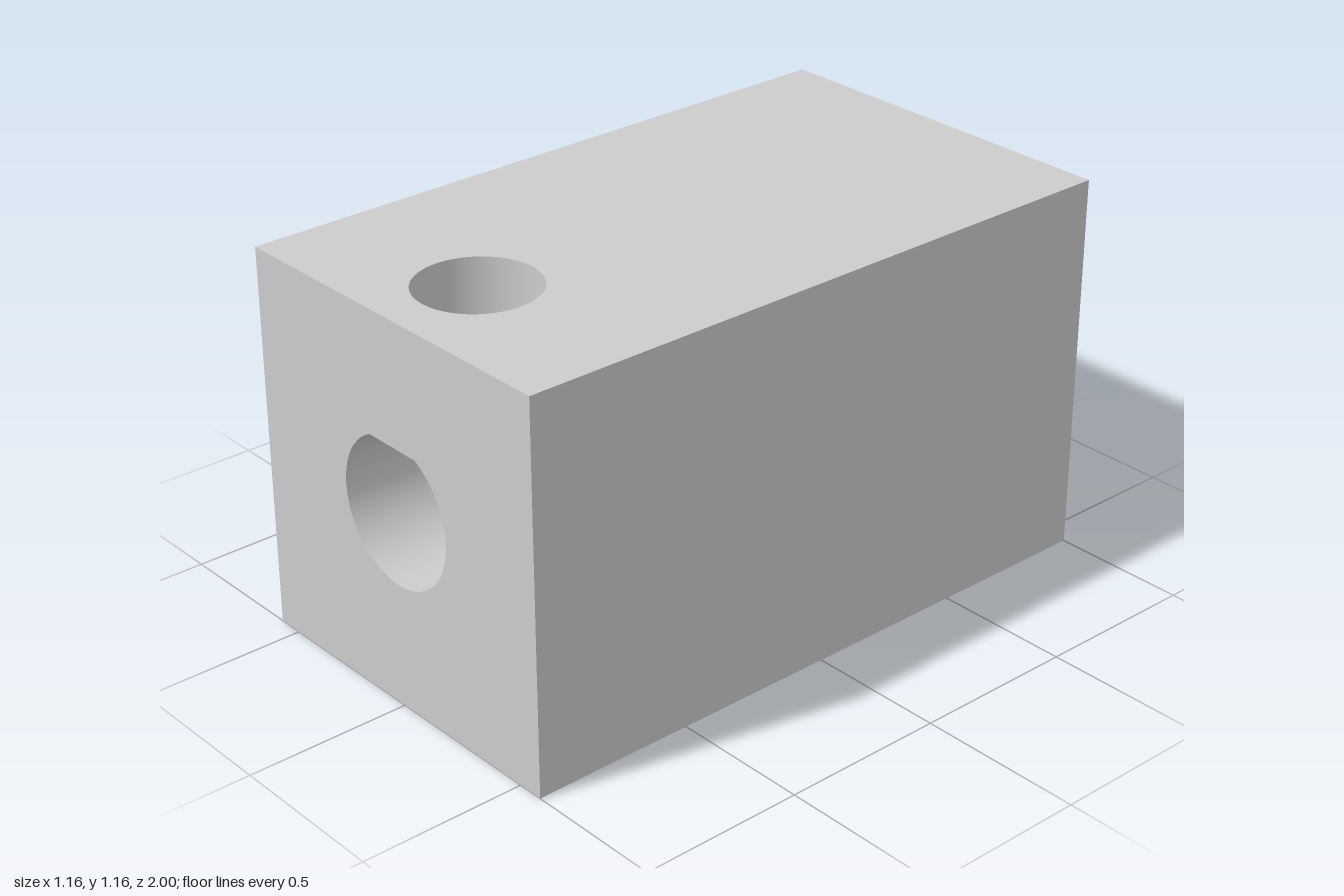
import * as THREE from 'three';
import { toCreasedNormals } from 'three/addons/utils/BufferGeometryUtils.js';

const S = 1.16, H = S / 2, L = 2;                  // block section and length
const BORE_Y = 0.595, BORE_R = 0.218, FLAT_Y = 0.79; // lengthwise bore with flat roof
const HOLE_Z = 0.705, HOLE_R = 0.177;              // vertical hole opening into the bore

const material = new THREE.MeshStandardMaterial({ color: 0xcccccc });

// Strip of quads between two matching rows of points
function ruled(a, b) {
  const index = [];
  for (let i = 0; i < a.length - 1; i++) {
    const j = i + a.length;
    index.push(i, i + 1, j + 1, i, j + 1, j);
  }
  const geometry = new THREE.BufferGeometry().setFromPoints([...a, ...b]);
  geometry.setIndex(index);
  return toCreasedNormals(geometry, 0.3);
}

// Rectangle centred on the origin, with an optional opening
function plate(w, h, opening) {
  const shape = new THREE.Shape([[-1, -1], [1, -1], [1, 1], [-1, 1]]
    .map(([x, y]) => new THREE.Vector2(x * w / 2, y * h / 2)));
  if (opening) shape.holes.push(new THREE.Path(opening));
  return new THREE.ShapeGeometry(shape);
}

export function createModel() {
  const model = new THREE.Group();
  const add = (name, geometry) => {
    const mesh = new THREE.Mesh(geometry, material);
    mesh.name = name;
    model.add(mesh);
  };

  // Angles shared by the vertical hole and the bore roof, with the flat's corners included
  const N = 48;
  const corner = Math.acos(Math.sqrt(BORE_R ** 2 - (FLAT_Y - BORE_Y) ** 2) / HOLE_R);
  const half = Array.from({ length: N + 1 }, (_, i) => i * Math.PI / N);
  half.push(corner, Math.PI - corner);
  half.sort((p, q) => p - q);
  const round = [...half, ...half.slice(1).map(t => t + Math.PI)];
  const roofY = x => Math.min(FLAT_Y, BORE_Y + Math.sqrt(BORE_R ** 2 - x * x));

  // Bore profile: x, y and the half-length w of the gap cut by the vertical hole
  const profile = half.map(t => {
    const x = HOLE_R * Math.cos(t);
    return { x, y: roofY(x), w: HOLE_R * Math.sin(t) };
  });
  const start = Math.acos(HOLE_R / BORE_R);
  for (let i = 1; i <= 64; i++) {
    const t = Math.PI - start + (Math.PI + 2 * start) * i / 64;
    profile.push({ x: BORE_R * Math.cos(t), y: BORE_Y + BORE_R * Math.sin(t), w: 0 });
  }
  const row = z => profile.map(p => new THREE.Vector3(p.x, p.y, z(p)));

  // Bore wall ahead of and behind the vertical hole
  add('boreFront', ruled(row(() => L / 2), row(p => HOLE_Z + p.w)));
  add('boreBack', ruled(row(p => HOLE_Z - p.w), row(() => -L / 2)));

  // Vertical hole wall
  const ring = y => round.map(t => {
    const x = HOLE_R * Math.cos(t);
    return new THREE.Vector3(x, y(x), HOLE_Z + HOLE_R * Math.sin(t));
  });
  add('topHole', ruled(ring(roofY), ring(() => S)));

  // End faces with the bore opening
  const boreOpening = profile.slice(0, -1).map(p => new THREE.Vector2(p.x, p.y - H));
  add('frontFace', plate(S, S, boreOpening).translate(0, H, L / 2));
  add('backFace', plate(S, S, boreOpening).rotateY(Math.PI).translate(0, H, -L / 2));

  // Top face with the round opening, and the plain bottom
  const topOpening = round.slice(0, -1).map(t =>
    new THREE.Vector2(HOLE_R * Math.cos(t), -HOLE_Z - HOLE_R * Math.sin(t)));
  add('topFace', plate(S, L, topOpening).rotateX(-Math.PI / 2).translate(0, S, 0));
  add('bottomFace', plate(S, L).rotateX(Math.PI / 2));

  // Plain sides
  for (const [name, s] of [['leftSide', 1], ['rightSide', -1]]) {
    add(name, plate(L, S).rotateY(s * Math.PI / 2).translate(s * H, H, 0));
  }
  return model;
}
